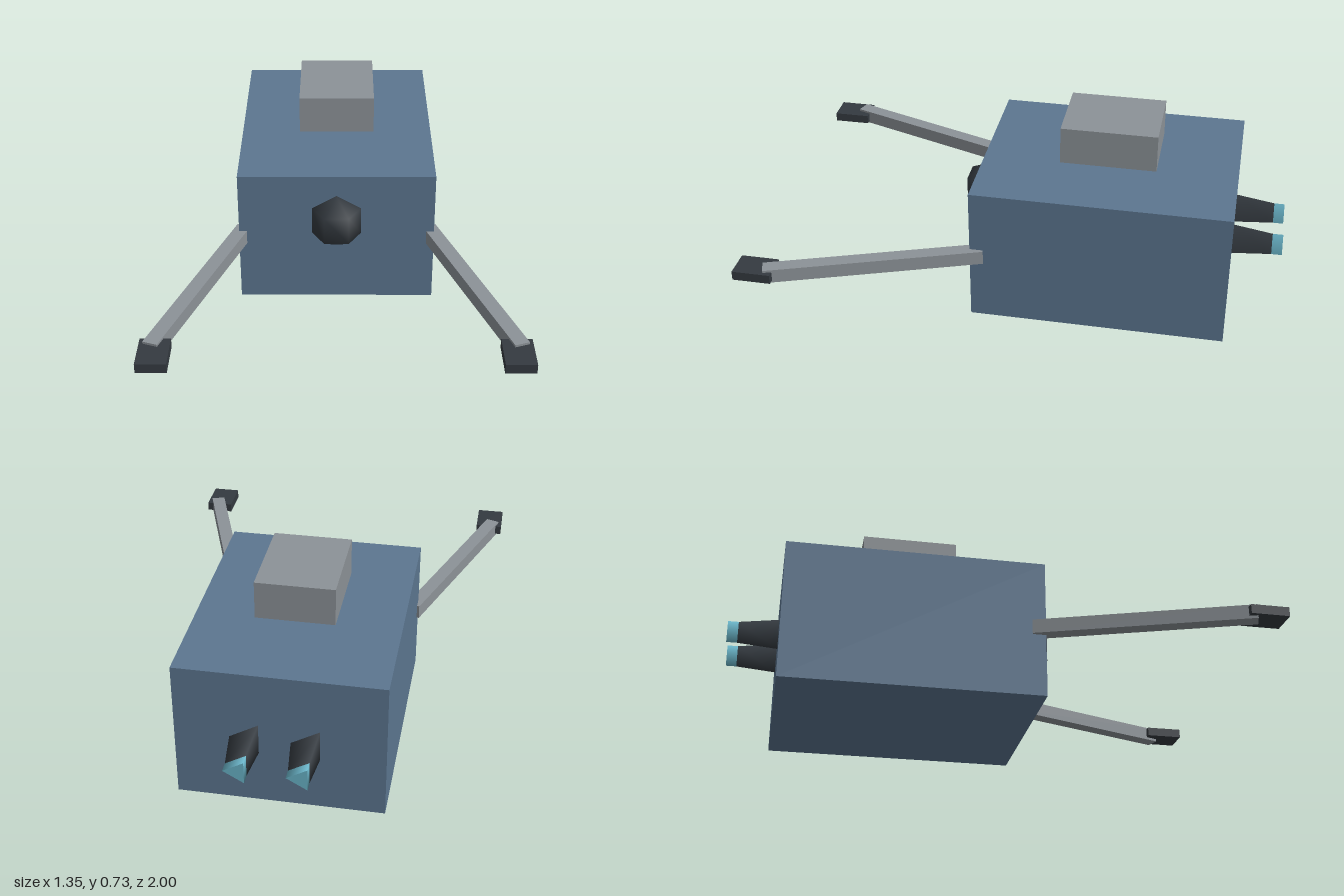
import * as THREE from 'three';

const material = (name, color) => Object.assign(new THREE.MeshStandardMaterial({ color }), { name });

export function createModel() {
  const model = new THREE.Group();
  model.name = 'boxyCraft';
  const hull = material('hull blue', 0x5c7690);
  const metal = material('light grey metal', 0x8c9297);
  const dark = material('dark grey', 0x343a40);
  const glow = material('engine cyan', 0x6ab4c8);

  const add = (name, geometry, mat, x, y, z, parent = model) => {
    const mesh = new THREE.Mesh(geometry, mat);
    mesh.name = name;
    mesh.position.set(x, y, z);
    parent.add(mesh);
    return mesh;
  };

  // Main hull and the module hovering above it
  add('hull', new THREE.BoxGeometry(0.76, 0.542, 0.976), hull, 0, 0.271, -0.323);
  add('roofModule', new THREE.BoxGeometry(0.294, 0.146, 0.366), metal, 0, 0.652, -0.323);

  // Faceted sensor dome, half sunk in the front
  add('sensorDome', new THREE.SphereGeometry(0.11, 6, 3), dark, 0, 0.348, 0.165);

  // Splayed arms with gripper blocks
  for (const side of [1, -1]) {
    const arm = new THREE.Group();
    arm.name = side > 0 ? 'leftArm' : 'rightArm';
    model.add(arm);
    const bar = add('armBar', new THREE.BoxGeometry(0.055, 0.055, 0.82), metal, side * 0.5, 0.272, 0.507, arm);
    bar.rotation.y = side * 0.34;
    add('gripper', new THREE.BoxGeometry(0.108, 0.036, 0.146), dark, side * 0.622, 0.273, 0.927, arm);
  }

  // Three-sided thrusters on the back, one corner towards +x
  const prism = (rBack, rFront, length) =>
    new THREE.CylinderGeometry(rBack, rFront, length, 3, 1, false, Math.PI / 2).rotateX(-Math.PI / 2);
  for (const side of [1, -1]) {
    const thruster = new THREE.Group();
    thruster.name = side > 0 ? 'leftThruster' : 'rightThruster';
    model.add(thruster);
    add('nozzle', prism(0.05, 0.07, 0.15), dark, side * 0.11, 0.272, -0.885, thruster);
    add('exhaust', prism(0.05, 0.05, 0.04), glow, side * 0.11, 0.272, -0.98, thruster);
  }

  return model;
}
